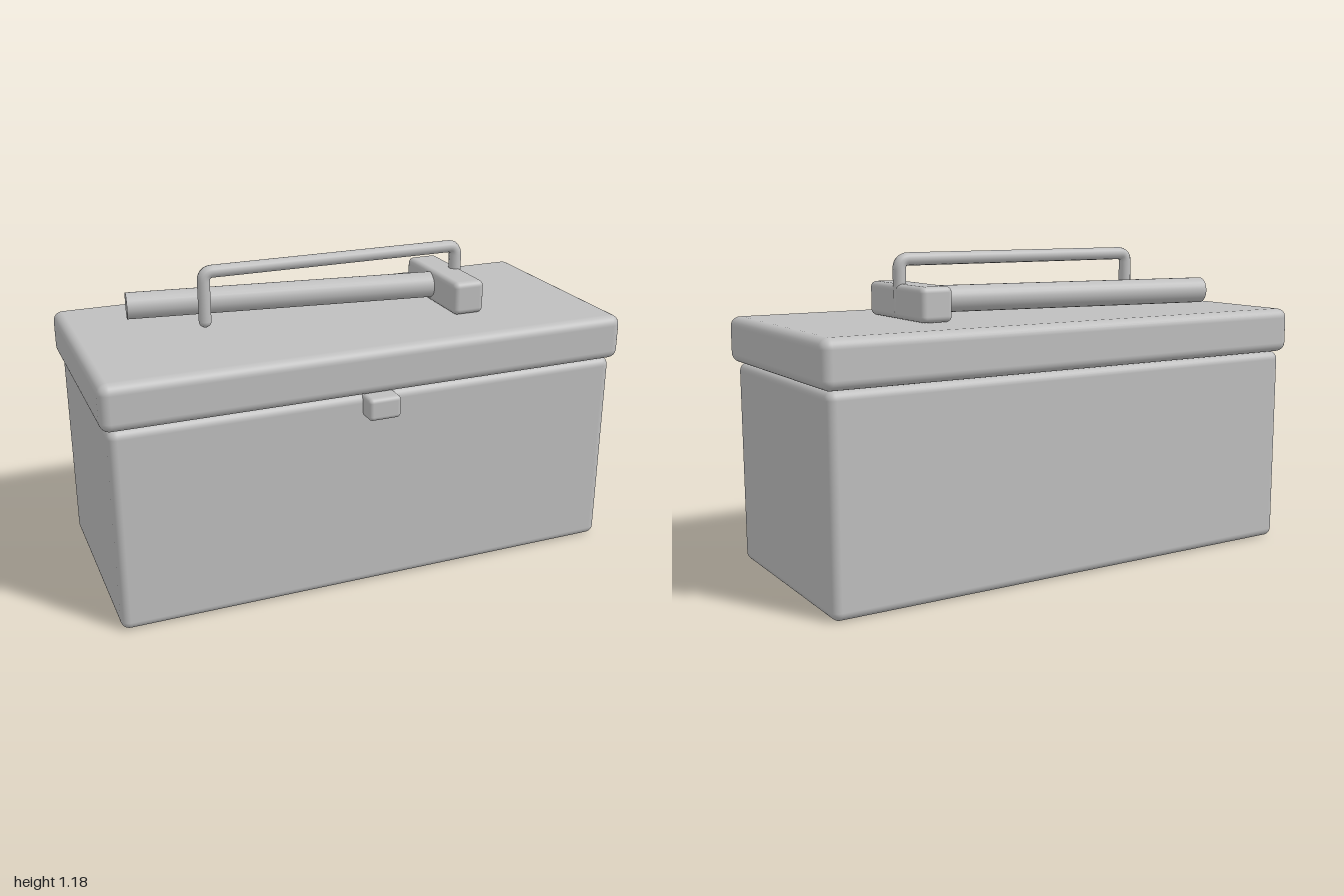
import * as THREE from 'three';
import { RoundedBoxGeometry } from 'three/addons/geometries/RoundedBoxGeometry.js';

const CENTER_Z = -0.021;

export function createModel() {
  const model = new THREE.Group();
  model.name = 'toolbox';
  const grey = new THREE.MeshStandardMaterial({ color: 0xbfbfbf });
  grey.name = 'plain grey';

  const add = (name, geometry, parent = model) => {
    const mesh = new THREE.Mesh(geometry, grey);
    mesh.name = name;
    parent.add(mesh);
    return mesh;
  };
  // rounded box given by its extents on each axis
  const block = (name, [x0, x1], [y0, y1], [z0, z1], radius, parent) => {
    const mesh = add(name, new RoundedBoxGeometry(x1 - x0, y1 - y0, z1 - z0, 4, radius), parent);
    mesh.position.set((x0 + x1) / 2, (y0 + y1) / 2, (z0 + z1) / 2);
    return mesh;
  };

  // Box, overhanging lid and front latch
  block('body', [-0.977, 0.977], [0, 0.766], [-0.446, 0.405], 0.032);
  block('lid', [-1, 1], [0.766, 0.937], [-0.467, 0.426], 0.036);
  block('latch', [-0.063, 0.061], [0.683, 0.767], [0.36, 0.467], 0.016);

  // Carrying handle: a bent rod with rounded ends
  const handle = new THREE.Group();
  handle.name = 'carryingHandle';
  model.add(handle);
  const rod = 0.024, bend = 0.035, left = -0.513, right = 0.508, top = 1.153, foot = 0.968;
  const point = (x, y) => new THREE.Vector3(x, y, CENTER_Z);
  const path = new THREE.CurvePath();
  path.add(new THREE.LineCurve3(point(left, foot), point(left, top - bend)));
  path.add(new THREE.QuadraticBezierCurve3(point(left, top - bend), point(left, top), point(left + bend, top)));
  path.add(new THREE.LineCurve3(point(left + bend, top), point(right - bend, top)));
  path.add(new THREE.QuadraticBezierCurve3(point(right - bend, top), point(right, top), point(right, top - bend)));
  path.add(new THREE.LineCurve3(point(right, top - bend), point(right, foot)));
  add('handleRod', new THREE.TubeGeometry(path, 200, rod, 12), handle);
  for (const x of [left, right]) {
    add('handleFoot', new THREE.SphereGeometry(rod, 12, 8), handle).position.copy(point(x, foot));
  }

  // Hammer lying on the lid, its shaft slanting toward the back
  const hammer = new THREE.Group();
  hammer.name = 'hammer';
  model.add(hammer);
  block('hammerHead', [0.403, 0.529], [0.938, 1.065], [-0.234, 0.191], 0.022, hammer);
  const from = new THREE.Vector3(-0.765, 1.005, -0.194);
  const to = new THREE.Vector3(0.466, 1.005, -0.021);
  const axis = to.clone().sub(from);
  const shaft = add('hammerShaft', new THREE.CylinderGeometry(0.05, 0.05, axis.length(), 24), hammer);
  shaft.position.copy(from).add(to).multiplyScalar(0.5);
  shaft.quaternion.setFromUnitVectors(new THREE.Vector3(0, 1, 0), axis.normalize());

  return model;
}
